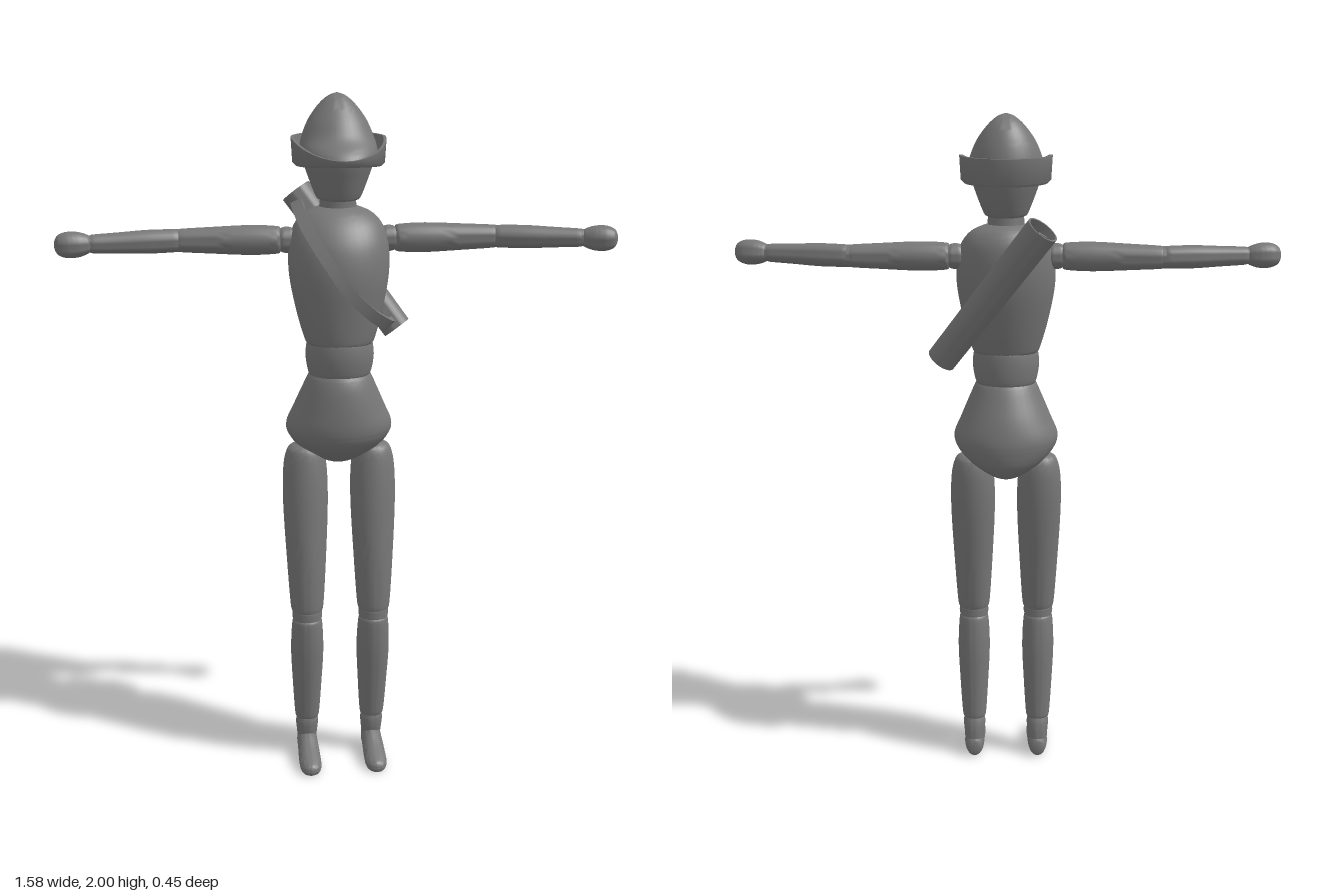
import * as THREE from 'three';
import { toCreasedNormals } from 'three/addons/utils/BufferGeometryUtils.js';

const V = (x, y, z) => new THREE.Vector3(x, y, z);
const material = new THREE.MeshStandardMaterial({ color: 0x777777 });
const doubleSided = new THREE.MeshStandardMaterial({ color: 0x777777, side: THREE.DoubleSide });

// Skin a list of equal-length point rings, optionally capping both ends
function skin(rings, caps = true) {
  const n = rings[0].length, pos = [], idx = [];
  rings.forEach(r => r.forEach(p => pos.push(p.x, p.y, p.z)));
  for (let i = 0; i < rings.length - 1; i++) {
    for (let j = 0; j < n; j++) {
      const k = (j + 1) % n, a = i * n + j, b = i * n + k;
      idx.push(a, b, b + n, a, b + n, a + n);
    }
  }
  if (caps) {
    [0, rings.length - 1].forEach((i, top) => {
      const c = rings[i].reduce((s, p) => s.add(p), V(0, 0, 0)).divideScalar(n);
      const ci = pos.length / 3;
      pos.push(c.x, c.y, c.z);
      for (let j = 0; j < n; j++) {
        const a = i * n + j, b = i * n + (j + 1) % n;
        if (top) idx.push(ci, a, b); else idx.push(ci, b, a);
      }
    });
  }
  const g = new THREE.BufferGeometry();
  g.setAttribute('position', new THREE.Float32BufferAttribute(pos, 3));
  g.setIndex(idx);
  return g;
}

// Smooth loft up y through elliptical sections [y, x, z, rx, rz]
function loft(sections, sides = 36, steps = 5) {
  const columns = sections[0].map((_, c) =>
    new THREE.SplineCurve(sections.map((s, i) => new THREE.Vector2(i, s[c]))));
  const count = (sections.length - 1) * steps, rings = [];
  for (let i = 0; i <= count; i++) {
    const [y, x, z, rx, rz] = columns.map(c => c.getPoint(i / count).y);
    rings.push(Array.from({ length: sides }, (_, j) => {
      const a = j / sides * Math.PI * 2;
      return V(x + rx * Math.cos(a), y, z - rz * Math.sin(a));
    }));
  }
  return skin(rings);
}

function add(parent, name, geometry, mat = material) {
  const mesh = new THREE.Mesh(toCreasedNormals(geometry, 0.75), mat);
  mesh.name = name;
  parent.add(mesh);
  return mesh;
}

// Round limb segment between two points, profile is [fraction, radius]
function limb(parent, name, from, to, profile) {
  const dir = to.clone().sub(from), len = dir.length();
  const mesh = add(parent, name, loft(profile.map(([t, r]) => [t * len, 0, 0, r, r]), 24));
  mesh.position.copy(from);
  mesh.quaternion.setFromUnitVectors(V(0, 1, 0), dir.normalize());
}

function ball(parent, name, p, r) {
  add(parent, name, new THREE.SphereGeometry(r, 24, 16)).position.copy(p);
}

function buildArm(parent, side, shoulder, elbow, wrist, tip) {
  const arm = new THREE.Group();
  arm.name = side + 'Arm';
  ball(arm, 'shoulderJoint', shoulder, 0.037);
  limb(arm, 'upperArm', shoulder.clone().lerp(elbow, 0.06), elbow,
    [[0, 0.033], [0.04, 0.039], [0.3, 0.042], [0.7, 0.037], [0.97, 0.033], [1, 0.03]]);
  ball(arm, 'elbowJoint', elbow, 0.032);
  limb(arm, 'forearm', elbow, wrist,
    [[0, 0.03], [0.04, 0.032], [0.35, 0.033], [0.7, 0.029], [0.97, 0.026], [1, 0.023]]);
  ball(arm, 'wristJoint', wrist, 0.024);
  limb(arm, 'hand', wrist, tip,
    [[0, 0.02], [0.1, 0.027], [0.35, 0.035], [0.65, 0.036], [0.88, 0.028], [0.97, 0.015], [1, 0.003]]);
  parent.add(arm);
}

function buildLeg(parent, side, s) {
  const leg = new THREE.Group();
  leg.name = side + 'Leg';
  const x = 0.1 * s;
  ball(leg, 'hipJoint', V(x, 0.95, 0.05), 0.058);
  add(leg, 'thigh', loft([
    [0.495, x, 0.092, 0.043, 0.046], [0.51, x, 0.091, 0.049, 0.053], [0.65, x, 0.079, 0.058, 0.062],
    [0.82, x, 0.06, 0.066, 0.066], [0.93, x, 0.05, 0.064, 0.062], [0.985, x, 0.048, 0.052, 0.052],
    [1.0, x, 0.048, 0.035, 0.035]]));
  ball(leg, 'kneeJoint', V(x, 0.478, 0.093), 0.045);
  add(leg, 'shin', loft([
    [0.125, x, 0.066, 0.032, 0.031], [0.14, x, 0.067, 0.037, 0.036], [0.25, x, 0.076, 0.044, 0.044],
    [0.36, x, 0.085, 0.049, 0.05], [0.45, x, 0.092, 0.045, 0.047], [0.468, x, 0.093, 0.038, 0.041]]));
  add(leg, 'ankle', loft([
    [0.04, x, 0.055, 0.028, 0.033], [0.08, x, 0.06, 0.032, 0.036],
    [0.11, x, 0.064, 0.034, 0.034], [0.13, x, 0.066, 0.028, 0.028]], 24));
  // Foot lofted heel to toe, with the sole flattened on the ground
  const foot = loft([
    [0.016, x, -0.03, 0.004, 0.008], [0.022, x, -0.031, 0.021, 0.027], [0.05, x, -0.038, 0.03, 0.046],
    [0.09, x, -0.033, 0.031, 0.043], [0.14, x, -0.022, 0.033, 0.033], [0.19, x, -0.014, 0.032, 0.025],
    [0.215, x, -0.012, 0.021, 0.018], [0.224, x, -0.012, 0.004, 0.005]], 28).rotateX(Math.PI / 2);
  const p = foot.attributes.position;
  for (let i = 0; i < p.count; i++) p.setY(i, Math.max(0, p.getY(i)));
  add(leg, 'foot', foot);
  parent.add(leg);
}

function buildHat(parent) {
  const hat = new THREE.Group();
  hat.name = 'hat';
  add(hat, 'hatCrown', loft([
    [1.82, 0, 0.046, 0.106, 0.142], [1.85, 0, 0.036, 0.108, 0.131], [1.885, 0, 0.015, 0.1, 0.106],
    [1.93, 0, 0.006, 0.08, 0.083], [1.97, 0, 0, 0.05, 0.054], [1.992, 0, 0, 0.024, 0.027],
    [2.0, 0, 0, 0.003, 0.003]]));
  // Brim turned up at the back and sides, reaching out flat to a point in front
  const rings = [];
  for (let i = 0; i <= 64; i++) {
    const a = i / 64 * Math.PI * 2, c = Math.cos(a), s = Math.sin(a);
    const f = Math.pow(Math.max(0, s), 1.4);
    const at = (rx, back, front, y) => V(rx * c, y, 0.035 + (s > 0 ? front : back) * s);
    const low = 1.807 + 0.013 * f, top = 1.884 - 0.046 * f;
    rings.push([
      at(0.1, 0.122, 0.135, low + 0.004), at(0.12, 0.13, 0.178, low), at(0.128, 0.136, 0.187, low + 0.008),
      at(0.132, 0.139, 0.189, top), at(0.124, 0.131, 0.181, top), at(0.112, 0.122, 0.15, low + 0.012)]);
  }
  add(hat, 'hatBrim', skin(rings, false), doubleSided);
  parent.add(hat);
}

function buildQuiver(parent) {
  const quiver = new THREE.Group();
  quiver.name = 'quiver';
  const bottom = V(0.185, 1.315, -0.062), top = V(-0.1, 1.705, -0.183);
  const len = bottom.distanceTo(top);
  const P = (r, y) => new THREE.Vector2(r, y);
  // Hollow tube, open at the top
  const tube = add(quiver, 'quiverTube', new THREE.LatheGeometry(
    [P(0, 0), P(0.043, 0), P(0.047, len), P(0.042, len), P(0.038, 0.03), P(0, 0.03)], 32), doubleSided);
  tube.position.copy(bottom);
  tube.quaternion.setFromUnitVectors(V(0, 1, 0), top.clone().sub(bottom).normalize());
  // Flat strap over the right shoulder and across the chest
  const path = new THREE.CatmullRomCurve3([
    V(-0.1, 1.675, -0.15), V(-0.105, 1.678, -0.07), V(-0.105, 1.67, 0.02), V(-0.09, 1.635, 0.112),
    V(-0.045, 1.56, 0.168), V(0.01, 1.48, 0.183), V(0.07, 1.415, 0.156), V(0.12, 1.37, 0.085),
    V(0.148, 1.345, 0.01), V(0.165, 1.335, -0.06)]);
  const rings = [];
  for (let i = 0; i <= 60; i++) {
    const p = path.getPoint(i / 60), t = path.getTangent(i / 60);
    const w = t.clone().cross(p.clone().sub(V(0, 1.48, 0))).normalize();
    const o = w.clone().cross(t).normalize();
    rings.push([[-1, -1], [1, -1], [1, 1], [-1, 1]].map(([u, v]) =>
      p.clone().addScaledVector(w, u * 0.017).addScaledVector(o, v * 0.009)));
  }
  add(quiver, 'quiverStrap', skin(rings), doubleSided);
  parent.add(quiver);
}

export function createModel() {
  const model = new THREE.Group();
  model.name = 'mannequin';

  // Body
  add(model, 'pelvis', loft([
    [0.938, 0, 0.01, 0.012, 0.02], [0.95, 0, 0.016, 0.05, 0.058], [0.985, 0, 0.03, 0.105, 0.1],
    [1.025, 0, 0.043, 0.142, 0.122], [1.065, 0, 0.049, 0.154, 0.128], [1.12, 0, 0.056, 0.132, 0.121],
    [1.18, 0, 0.065, 0.106, 0.105], [1.215, 0, 0.068, 0.09, 0.091], [1.228, 0, 0.068, 0.078, 0.08]]));
  add(model, 'waist', loft([
    [1.21, 0, 0.068, 0.078, 0.075], [1.225, 0, 0.068, 0.09, 0.088], [1.275, 0, 0.07, 0.098, 0.094],
    [1.32, 0, 0.07, 0.092, 0.09], [1.335, 0, 0.07, 0.08, 0.078]]));
  add(model, 'chest', loft([
    [1.312, 0, 0.07, 0.092, 0.086], [1.322, 0, 0.07, 0.1, 0.093], [1.4, 0, 0.062, 0.122, 0.109],
    [1.5, 0, 0.053, 0.141, 0.124], [1.58, 0, 0.044, 0.142, 0.121], [1.635, 0, 0.033, 0.128, 0.105],
    [1.67, 0, 0.025, 0.1, 0.08], [1.688, 0, 0.022, 0.062, 0.054], [1.692, 0, 0.022, 0.045, 0.04]]));

  // Head
  add(model, 'neck', loft([
    [1.66, 0, 0.022, 0.056, 0.05], [1.7, 0, 0.024, 0.052, 0.046], [1.74, 0, 0.026, 0.052, 0.046]], 28));
  add(model, 'head', loft([
    [1.714, 0, 0.036, 0.056, 0.072], [1.722, 0, 0.036, 0.064, 0.08], [1.77, 0, 0.034, 0.083, 0.1],
    [1.82, 0, 0.034, 0.099, 0.116], [1.85, 0, 0.034, 0.096, 0.112]]));
  buildHat(model);

  // Limbs
  buildArm(model, 'left', V(0.145, 1.598, 0.027), V(0.447, 1.598, 0.032), V(0.69, 1.598, 0.086), V(0.788, 1.598, 0.11));
  buildArm(model, 'right', V(-0.145, 1.598, 0.027), V(-0.447, 1.598, 0.005), V(-0.69, 1.598, 0.034), V(-0.79, 1.598, 0.046));
  buildLeg(model, 'left', 1);
  buildLeg(model, 'right', -1);

  buildQuiver(model);
  return model;
}
